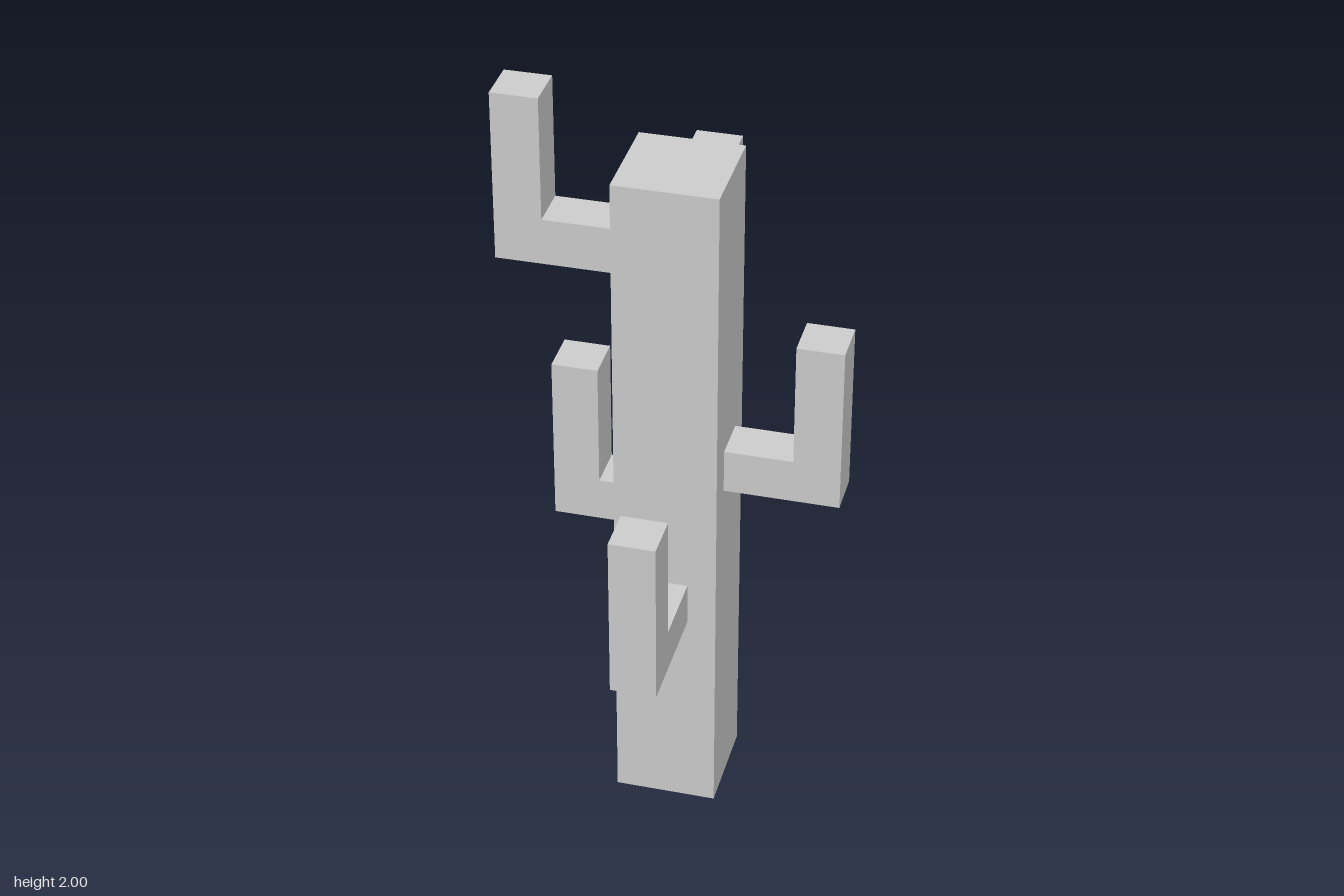
import * as THREE from 'three';

const material = new THREE.MeshStandardMaterial({ color: 0xcccccc, flatShading: true });
const ARM_WIDTH = 0.119;

// L-shaped arm: runs outward from the trunk face, then turns straight up
function makeArm({ name, angle, x = 0, z = 0, inner, elbow, outer, bottom, shelf, top }) {
  const profile = new THREE.Shape([
    [inner, bottom], [outer, bottom], [outer, top],
    [elbow, top], [elbow, shelf], [inner, shelf],
  ].map(([px, py]) => new THREE.Vector2(px, py)));
  const geometry = new THREE.ExtrudeGeometry(profile, { depth: ARM_WIDTH, bevelEnabled: false });
  geometry.translate(0, 0, -ARM_WIDTH / 2);
  const arm = new THREE.Mesh(geometry, material);
  arm.name = name;
  arm.rotation.y = angle;
  arm.position.set(x, 0, z);
  return arm;
}

export function createModel() {
  const cactus = new THREE.Group();
  cactus.name = 'cactus';

  // Square trunk
  const trunk = new THREE.Mesh(new THREE.BoxGeometry(0.265, 1.836, 0.265), material);
  trunk.name = 'trunk';
  trunk.position.set(0.007, 0.918, -0.013);
  cactus.add(trunk);

  // Arms on all four sides at staggered heights
  const half = Math.PI / 2;
  const arms = [
    { name: 'upperRightArm', angle: Math.PI, z: -0.014, inner: 0.125, elbow: 0.317, outer: 0.437, bottom: 1.55, shelf: 1.673, top: 2 },
    { name: 'lowerRightArm', angle: Math.PI, z: -0.049, inner: 0.125, elbow: 0.194, outer: 0.313, bottom: 0.788, shelf: 0.905, top: 1.238 },
    { name: 'leftArm', angle: 0, z: -0.014, inner: 0.139, elbow: 0.315, outer: 0.435, bottom: 0.957, shelf: 1.075, top: 1.408 },
    { name: 'frontArm', angle: -half, x: 0.006, inner: 0.119, elbow: 0.313, outer: 0.432, bottom: 0.582, shelf: 0.698, top: 1.032 },
    { name: 'upperBackArm', angle: half, x: 0.006, inner: 0.145, elbow: 0.315, outer: 0.434, bottom: 1.249, shelf: 1.371, top: 1.699 },
    { name: 'lowerBackArm', angle: half, x: 0.006, inner: 0.145, elbow: 0.315, outer: 0.434, bottom: 0.343, shelf: 0.46, top: 0.79 },
  ];
  for (const spec of arms) cactus.add(makeArm(spec));

  return cactus;
}
